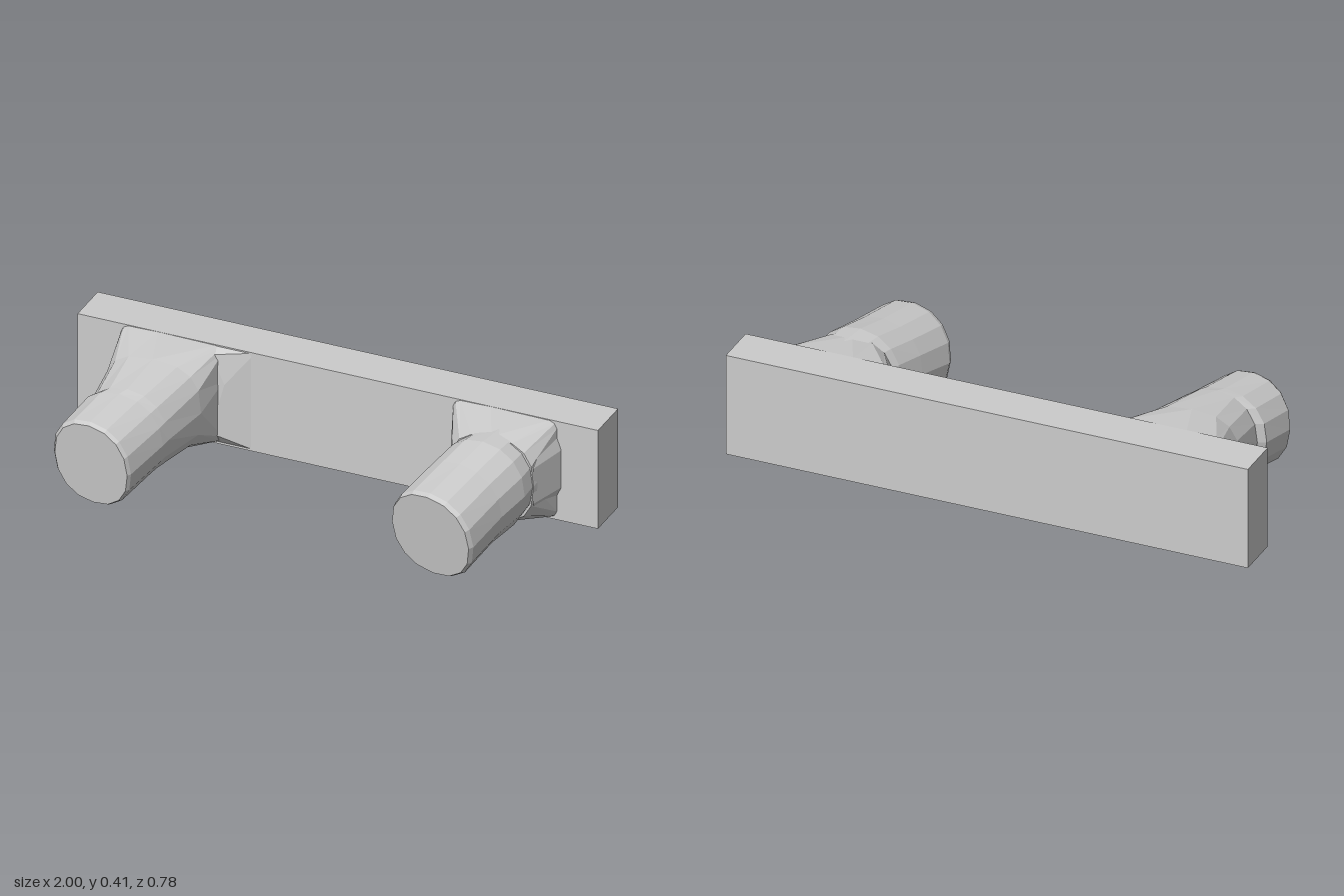
import * as THREE from 'three';
import { ConvexGeometry } from 'three/addons/geometries/ConvexGeometry.js';

const SIDES = 16;

// Loft through sections [z, xMin, xMax, yMin, yMax, squareness, slopeX, slopeY]
function loft(sections) {
  const pos = [], idx = [];
  const bend = (v, n) => Math.sign(v) * Math.pow(Math.abs(v), 2 / n);
  for (const [z, x0, x1, y0, y1, n, sx, sy] of sections) {
    for (let j = 0; j < SIDES; j++) {
      const a = ((j + 0.001) / SIDES) * Math.PI * 2;
      const dx = bend(Math.cos(a), n) * (x1 - x0) / 2;
      const dy = bend(Math.sin(a), n) * (y1 - y0) / 2;
      pos.push((x0 + x1) / 2 + dx, (y0 + y1) / 2 + dy, z + sx * dx + sy * dy);
    }
  }
  for (let i = 0; i < sections.length - 1; i++) {
    for (let j = 0; j < SIDES; j++) {
      const a = i * SIDES + j, b = i * SIDES + (j + 1) % SIDES;
      idx.push(a, b, b + SIDES, a, b + SIDES, a + SIDES);
    }
  }
  // Slanted flat end
  const last = sections[sections.length - 1];
  const start = (sections.length - 1) * SIDES;
  pos.push((last[1] + last[2]) / 2, (last[3] + last[4]) / 2, last[0]);
  for (let j = 0; j < SIDES; j++) idx.push(start + SIDES, start + j, start + (j + 1) % SIDES);
  const g = new THREE.BufferGeometry();
  g.setAttribute('position', new THREE.Float32BufferAttribute(pos, 3));
  g.setIndex(idx);
  g.computeVertexNormals();
  return g;
}

export function createModel() {
  const group = new THREE.Group();
  const material = new THREE.MeshStandardMaterial({ color: 0xcccccc, flatShading: true });
  const add = (name, geometry) => {
    const mesh = new THREE.Mesh(geometry, material);
    mesh.name = name;
    group.add(mesh);
    return mesh;
  };

  // Back board
  add('backBoard', new THREE.BoxGeometry(2, 0.395, 0.17)).position.set(0, 0.215, -0.3);

  // Right peg: square root easing into a round, down-tilted stub
  add('rightPeg', loft([
    [-0.217, -0.835, -0.44, 0.02, 0.412, 12, 0, 0],
    [-0.05, -0.82, -0.45, 0.05, 0.4, 2.8, 0, 0],
    [0.14, -0.805, -0.485, 0.045, 0.378, 2.2, 0.05, 0.03],
    [0.17, -0.83, -0.49, 0.04, 0.372, 2.2, 0.08, 0.05],
    [0.345, -0.847, -0.527, 0.01, 0.348, 2.2, 0.16, 0.1],
    [0.362, -0.835, -0.535, 0.018, 0.34, 2.2, 0.16, 0.1],
  ]));

  // Left peg: flared collar, then the stub
  add('leftPegCollar', loft([
    [-0.217, 0.44, 0.845, 0.02, 0.412, 12, 0, 0],
    [-0.05, 0.505, 0.828, 0.065, 0.395, 2.6, 0, 0],
  ]));
  add('leftPeg', loft([
    [-0.1, 0.52, 0.825, 0.07, 0.4, 2.2, 0, 0],
    [0, 0.49, 0.825, 0.05, 0.4, 2.2, 0.1, 0.02],
    [0.13, 0.465, 0.8, 0.042, 0.375, 2.2, 0.15, 0.08],
    [0.305, 0.436, 0.775, 0.004, 0.348, 2.2, 0.21, 0.15],
    [0.325, 0.44, 0.765, 0.012, 0.34, 2.2, 0.21, 0.15],
  ]));

  // Shallow gussets bracing each peg against the board
  const gusset = (name, points) =>
    add(name, new ConvexGeometry(points.map((p) => new THREE.Vector3(...p))));
  gusset('rightGusset', [
    [-0.5, 0.41, -0.22], [-0.5, 0.02, -0.22], [-0.32, 0.41, -0.22], [-0.32, 0.02, -0.22],
    [-0.42, 0.28, -0.18], [-0.47, 0.08, -0.17], [-0.47, 0.39, -0.18],
  ]);
  gusset('leftGusset', [
    [0.78, 0.41, -0.22], [0.78, 0.02, -0.22], [0.82, 0.41, -0.22], [0.8, 0.02, -0.22],
    [0.86, 0.3, -0.22], [0.86, 0.15, -0.22], [0.825, 0.3, -0.05], [0.825, 0.16, -0.05],
  ]);
  return group;
}
